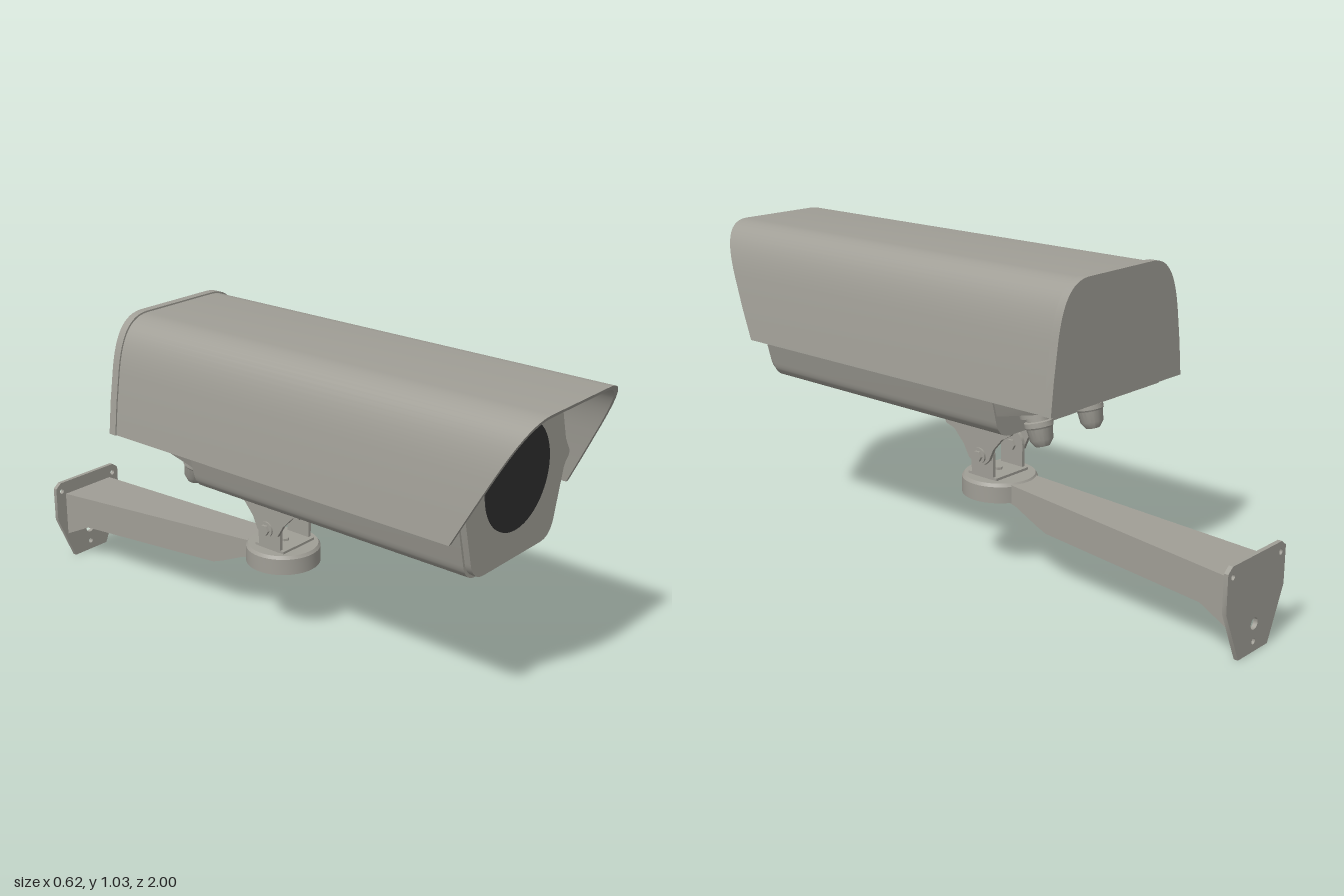
import * as THREE from 'three';
import { toCreasedNormals } from 'three/addons/utils/BufferGeometryUtils.js';

const housingGrey = new THREE.MeshStandardMaterial({ color: 0xa09e96 });
housingGrey.name = 'housing grey';
const lensBlack = new THREE.MeshStandardMaterial({ color: 0x2d2d2d });
lensBlack.name = 'lens black';

export function createModel() {
  const model = new THREE.Group();

  const add = (name, geo, parent = model, mat = housingGrey) => {
    const mesh = new THREE.Mesh(toCreasedNormals(geo, 0.6), mat);
    mesh.name = name;
    parent.add(mesh);
    return mesh;
  };
  const group = (name) => {
    const g = new THREE.Group();
    g.name = name;
    model.add(g);
    return g;
  };
  const polygon = (pts) => new THREE.Shape(pts.map(([x, y]) => new THREE.Vector2(x, y)));
  // Extrude an x/y shape between two depths
  const alongZ = (shape, z0, z1) =>
    new THREE.ExtrudeGeometry(shape, { depth: z1 - z0, bevelEnabled: false, curveSegments: 10 }).translate(0, 0, z0);
  // Extrude a z/y shape between two widths
  const alongX = (shape, x0, x1) =>
    new THREE.ExtrudeGeometry(shape, { depth: x1 - x0, bevelEnabled: false, curveSegments: 10 })
      .rotateY(-Math.PI / 2).translate(x1, 0, 0);
  // Move every vertex by a rule
  const reshape = (geo, rule) => {
    const p = geo.attributes.position;
    const v = new THREE.Vector3();
    for (let i = 0; i < p.count; i++) {
      rule(v.fromBufferAttribute(p, i));
      p.setXYZ(i, v.x, v.y, v.z);
    }
    return geo;
  };
  const box = (w, h, d, x, y, z) => new THREE.BoxGeometry(w, h, d).translate(x, y, z);
  const mirrored = (half) => [...half, ...half.map(([x, ...rest]) => [-x, ...rest]).reverse()];

  // Closed outline whose corners [x, y, radius] are rounded
  const rounded = (pts) => {
    const shape = new THREE.Shape();
    pts.forEach(([x, y, r], i) => {
      const c = new THREE.Vector2(x, y);
      const toward = (q) => new THREE.Vector2(q[0], q[1]).sub(c).setLength(r).add(c);
      const a = toward(pts[(i + pts.length - 1) % pts.length]);
      const b = toward(pts[(i + 1) % pts.length]);
      if (i) shape.lineTo(a.x, a.y);
      else shape.moveTo(a.x, a.y);
      shape.quadraticCurveTo(x, y, b.x, b.y);
    });
    shape.closePath();
    return shape;
  };

  // Housing: front cap, slightly larger barrel, and a tail with a sloping floor
  const housingOutline = (o) => rounded(mirrored([
    [0.198 + o, 0.52 - o, 0.055], [0.252 + o, 0.73, 0.012], [0.275 + o, 0.755, 0.006],
    [0.275 + o, 0.77, 0.006], [0.25 + o, 0.81, 0.012], [0.2 + o, 0.985 + o, 0.065],
  ]));
  const housing = group('housing');
  add('frontCap', alongZ(housingOutline(0), 0.78, 0.82), housing);
  add('barrel', alongZ(housingOutline(0.007), -0.22, 0.8), housing);
  add('tail', reshape(alongZ(housingOutline(0.004), -0.49, -0.22), (v) => {
    v.y = Math.max(v.y, v.z < -0.3 ? 0.65 : 0.585);
  }), housing);
  add('window', new THREE.CylinderGeometry(0.162, 0.162, 0.006, 64)
    .rotateX(Math.PI / 2).translate(0, 0.77, 0.82), housing, lensBlack);

  // Sunshield: thin arched sheet with a raked front edge
  const arc = new THREE.CubicBezierCurve(
    new THREE.Vector2(0.278, 0.86), new THREE.Vector2(0.262, 0.96),
    new THREE.Vector2(0.232, 1.028), new THREE.Vector2(0.15, 1.031)).getPoints(14);
  const outer = mirrored([[0.304, 0.66], [0.293, 0.76], ...arc.map((p) => [p.x, p.y])]);
  const inner = outer.map(([x, y]) => [x * 0.96, y > 0.66 ? y - 0.012 : y]).reverse();
  const shield = group('sunshield');
  add('shieldSheet', reshape(alongZ(polygon([...outer, ...inner]), -0.49, 1), (v) => {
    if (v.z > 0) v.z = 1 - (1.031 - v.y) * 0.52;
  }), shield);
  add('rearCover', alongZ(polygon(outer.map(([x, y]) => [x * 1.015, y > 0.66 ? y + 0.005 : y])), -0.505, -0.478), shield);
  add('shieldScrew', new THREE.CylinderGeometry(0.01, 0.01, 0.04, 12).translate(0, 1.005, 0.7), shield);

  // Cable glands under the tail
  const glandProfile = [[0, -0.115], [0.022, -0.115], [0.036, -0.095], [0.04, -0.06], [0.044, -0.055],
    [0.044, -0.04], [0.036, -0.037], [0.036, -0.026], [0.053, -0.024], [0.053, 0.01]];
  for (const x of [-0.12, 0.12]) {
    const gland = add('cableGland', new THREE.LatheGeometry(
      glandProfile.map(([r, y]) => new THREE.Vector2(r, y)), 20));
    gland.position.set(x, 0.605, -0.29);
    gland.rotation.x = 0.25;
  }

  // Tilt bracket: cheeks hanging from the housing, pivoting on upright lugs
  const cheek = polygon([[0.12, 0.515], [0.12, 0.485], [0.11, 0.468], [0.075, 0.457], [0.035, 0.415],
    [0.012, 0.375], [-0.01, 0.36], [-0.03, 0.356], [-0.052, 0.362], [-0.072, 0.38],
    [-0.09, 0.42], [-0.125, 0.46], [-0.16, 0.48], [-0.18, 0.515]]);
  const lug = new THREE.Shape();
  lug.moveTo(0.012, 0.315);
  lug.lineTo(0.012, 0.395);
  lug.absarc(-0.033, 0.395, 0.045, 0, Math.PI, false);
  lug.lineTo(-0.078, 0.315);
  const bracket = group('tiltBracket');
  add('saddlePlate', box(0.176, 0.012, 0.3, 0, 0.508, -0.03), bracket);
  add('swivelPlate', box(0.15, 0.01, 0.12, 0, 0.318, -0.033), bracket);
  for (const s of [-1, 1]) {
    const bolt = (r, len, x, sides) => new THREE.CylinderGeometry(r, r, len, sides)
      .rotateZ(Math.PI / 2).translate(s * x, 0.39, -0.033);
    add('cheek', alongX(cheek, s * 0.082 - 0.006, s * 0.082 + 0.006), bracket);
    add('lug', alongX(lug, s * 0.07 - 0.006, s * 0.07 + 0.006), bracket);
    add('washer', bolt(0.026, 0.008, 0.09, 20), bracket);
    add('pivotBolt', bolt(0.018, 0.048, 0.079, 6), bracket);
  }

  // Round swivel cup at the arm's end, hollow underneath
  const arm = group('wallArm');
  const cup = [[0, 0.295], [0.105, 0.295], [0.105, 0.252], [0.121, 0.252], [0.121, 0.305], [0.114, 0.315], [0, 0.315]];
  add('swivelCup', new THREE.LatheGeometry(cup.map(([r, y]) => new THREE.Vector2(r, y)), 40)
    .translate(0, 0, -0.04), arm);
  add('swivelBolt', new THREE.CylinderGeometry(0.014, 0.014, 0.05, 6).translate(0, 0.306, -0.033), arm);

  // Arm: downward-open channel that widens toward the wall
  const halfWidth = (z) => 0.08 + (-z - 0.5) * 0.052;
  const web = polygon([[-0.14, 0.31], [-0.985, 0.256], [-0.985, 0.242], [-0.14, 0.295]]);
  add('armTop', reshape(alongX(web, -1, 1), (v) => { v.x *= halfWidth(v.z); }), arm);
  const flange = polygon([[-0.12, 0.305], [-0.985, 0.25], [-0.985, 0.1], [-0.88, 0.152],
    [-0.29, 0.19], [-0.25, 0.205], [-0.16, 0.245], [-0.12, 0.252]]);
  for (const s of [-1, 1]) {
    add('armSide', reshape(alongX(flange, -0.007, 0.007), (v) => {
      v.x += s * (halfWidth(v.z) - 0.007);
    }), arm);
  }

  // Wall plate with cable hole and screw holes
  const plate = polygon(mirrored([[0.075, 0.003], [0.147, 0.165], [0.147, 0.285], [0.125, 0.302]]));
  for (const [x, y, r] of [[0, 0.09, 0.018], [0, 0.035, 0.009], [0.122, 0.27, 0.009], [-0.122, 0.27, 0.009]]) {
    plate.holes.push(new THREE.Path().absarc(x, y, r, 0, Math.PI * 2, true));
  }
  add('wallPlate', alongZ(plate, -1, -0.986), arm);

  return model;
}
